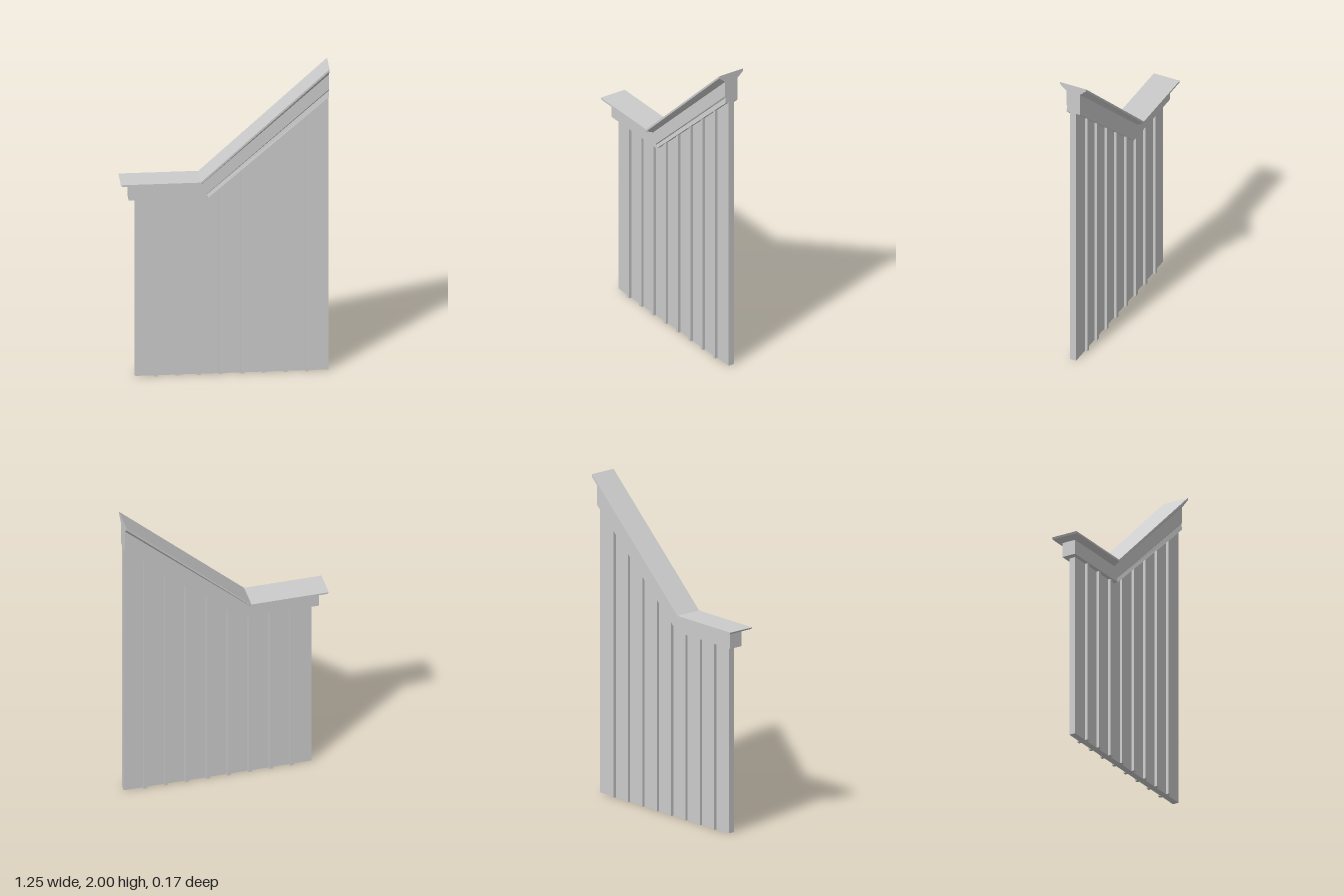
import * as THREE from 'three';

const material = new THREE.MeshStandardMaterial({ color: 0xcccccc, flatShading: true });

// Height of the coping's underside at a given x
const KNEE = [-0.1, 1.165], RIGHT = [0.625, 1.8];
function undersideY(x) {
  const t = Math.max(0, (x - KNEE[0]) / (RIGHT[0] - KNEE[0]));
  return KNEE[1] + t * (RIGHT[1] - KNEE[1]);
}

// Upright slab whose top follows the underside, tucked slightly into the coping
function slab(name, x0, x1, halfDepth) {
  const tuck = 0.03;
  const xs = [x1, x0];
  if (x0 < KNEE[0] && x1 > KNEE[0]) xs.splice(1, 0, KNEE[0]);
  const shape = new THREE.Shape();
  shape.moveTo(x0, 0);
  shape.lineTo(x1, 0);
  for (const x of xs) shape.lineTo(x, undersideY(x) + tuck);
  shape.closePath();
  const geometry = new THREE.ExtrudeGeometry(shape, { depth: 2 * halfDepth, bevelEnabled: false });
  geometry.translate(0, 0, -halfDepth);
  const mesh = new THREE.Mesh(geometry, material);
  mesh.name = name;
  return mesh;
}

// Coping: bent rail lofted from horizontal edge lines, top to bottom.
// Each line: half depth, left end, knee, right end, groove depth on the front.
function coping() {
  const lines = [
    { z: 0.087, left: [-0.63, 1.285], knee: [-0.15, 1.285], right: [0.625, 2.0], groove: 0 },
    { z: 0.087, left: [-0.622, 1.274], knee: [-0.146, 1.274], right: [0.625, 1.985], groove: 0 },
    { z: 0.045, left: [-0.58, 1.257], knee: [-0.138, 1.257], right: [0.625, 1.948], groove: 0 },
    { z: 0.045, left: [-0.58, 1.19], knee: [-0.11, 1.19], right: [0.625, 1.85], groove: 0 },
    { z: 0.045, left: [-0.58, 1.186], knee: [-0.108, 1.186], right: [0.625, 1.84], groove: 0.006 },
    { z: 0.045, left: [-0.58, 1.165], knee: KNEE, right: RIGHT, groove: 0 },
  ];
  // Four stations; the doubled knee gives the groove an abrupt start
  const row = (line, side) => [line.left, line.knee, line.knee, line.right].map(([x, y], s) =>
    [x, y, side * (line.z - (side > 0 && s > 1 ? line.groove : 0))]);
  const rows = [...lines.map(l => row(l, 1)), ...lines.map(l => row(l, -1)).reverse()];
  const n = rows.length;
  const positions = [];
  const quad = (a, b, c, d) => positions.push(...a, ...b, ...c, ...a, ...c, ...d);

  // Long faces
  for (let i = 0; i < n; i++) {
    const p = rows[i], q = rows[(i + 1) % n];
    for (let s = 0; s < 3; s++) quad(p[s], q[s], q[s + 1], p[s + 1]);
  }
  // End faces
  for (let k = 0; k < lines.length - 1; k++) {
    const f0 = rows[k], f1 = rows[k + 1], b0 = rows[n - 1 - k], b1 = rows[n - 2 - k];
    quad(f0[3], f1[3], b1[3], b0[3]);
    quad(b0[0], b1[0], f1[0], f0[0]);
  }
  const geometry = new THREE.BufferGeometry();
  geometry.setAttribute('position', new THREE.Float32BufferAttribute(positions, 3));
  geometry.computeVertexNormals();
  const mesh = new THREE.Mesh(geometry, material);
  mesh.name = 'coping';
  return mesh;
}

export function createModel() {
  const model = new THREE.Group();
  model.name = 'partitionPanel';
  model.add(slab('panel', -0.54, 0.625, 0.02));

  // Battens run through the panel and stand proud on both sides
  const battens = new THREE.Group();
  battens.name = 'battens';
  for (let i = 0; i < 8; i++) {
    const x = -0.415 + i * 0.13;
    battens.add(slab('batten', x - 0.0115, x + 0.0115, 0.037));
  }
  model.add(battens, coping());
  return model;
}
